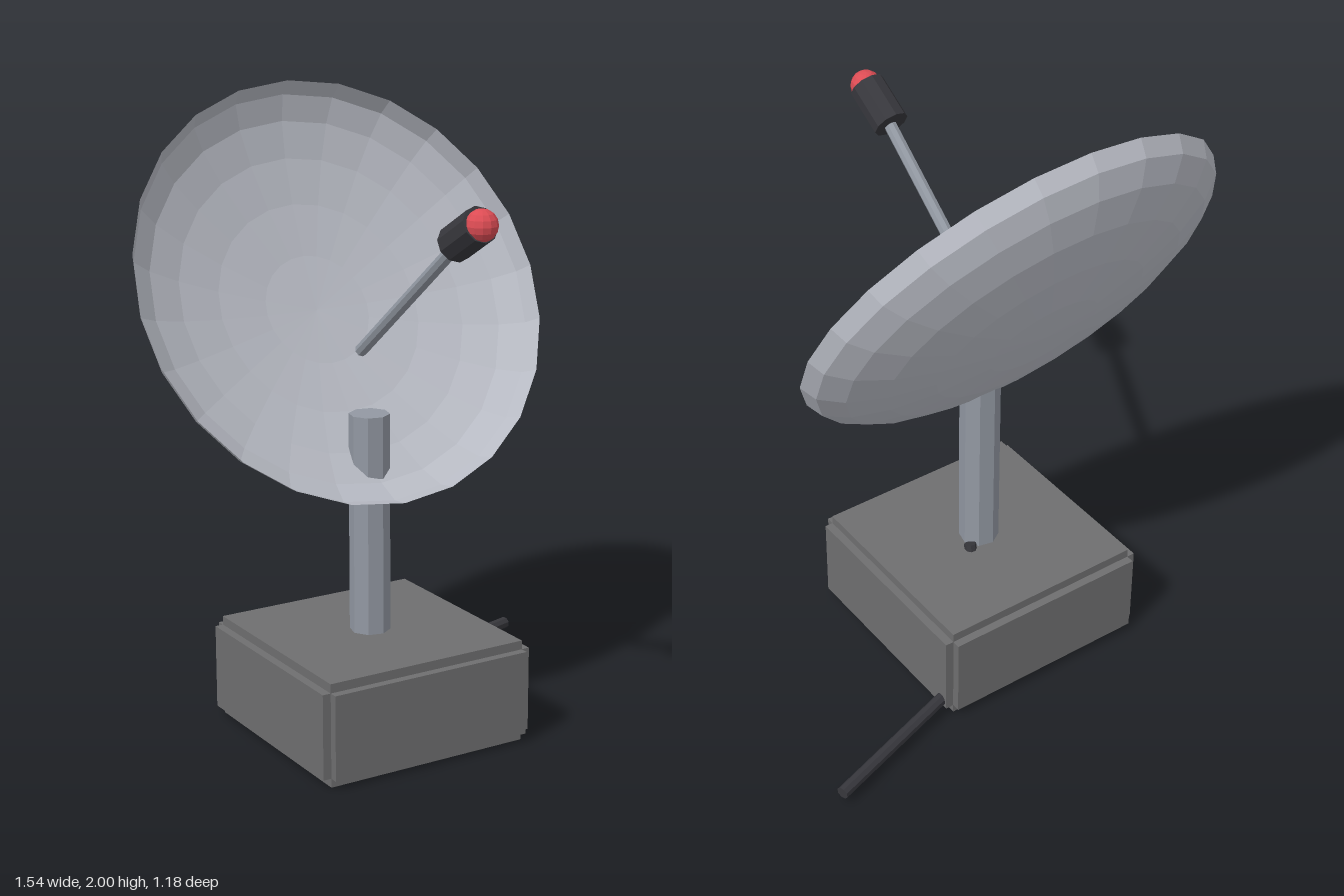
import * as THREE from 'three';

const mat = (name, color, extra = {}) => {
  const m = new THREE.MeshStandardMaterial({ color, flatShading: true, ...extra });
  m.name = name;
  return m;
};

export function createModel() {
  const model = new THREE.Group();
  const dishGrey = mat('dish light grey', 0xb8bbc4, { side: THREE.DoubleSide });
  const steel = mat('steel grey', 0x9298a2);
  const baseGrey = mat('base grey', 0x6e6e6f);
  const black = mat('black plastic', 0x37373c);
  const red = mat('red tip', 0xdc4c54);
  const V = (x, y, z) => new THREE.Vector3(x, y, z);
  const UP = V(0, 1, 0);
  const X = -0.075, Z = -0.06; // centre of mast and base

  const add = (name, geometry, material, parent = model) => {
    const mesh = new THREE.Mesh(geometry, material);
    mesh.name = name;
    parent.add(mesh);
    return mesh;
  };
  // Straight cylinder between two points
  const rod = (name, a, b, r, sides, material, parent) => {
    const mesh = add(name, new THREE.CylinderGeometry(r, r, a.distanceTo(b), sides), material, parent);
    mesh.position.copy(a).add(b).multiplyScalar(0.5);
    mesh.quaternion.setFromUnitVectors(UP, b.clone().sub(a).normalize());
    return mesh;
  };

  // Base: three crossed boxes leave a small step along every edge
  const base = new THREE.Group();
  base.name = 'base';
  base.position.set(X, 0.165, Z);
  model.add(base);
  const wide = 0.74, inset = 0.686;
  add('baseSides', new THREE.BoxGeometry(wide, 0.272, inset), baseGrey, base);
  add('baseFrontBack', new THREE.BoxGeometry(inset, 0.272, wide), baseGrey, base);
  add('baseTopBottom', new THREE.BoxGeometry(inset, 0.33, inset), baseGrey, base);

  // Mast
  rod('mast', V(X, 0.3, Z), V(X, 1.03, Z), 0.064, 8, steel).rotateY(0.17);

  // Dish: half of a flattened sphere, open towards the upper front
  const bowl = new THREE.SphereGeometry(0.695, 24, 6, 0, Math.PI * 2, Math.PI / 2, Math.PI / 2);
  bowl.scale(1, 0.205 / 0.695, 1);
  const dish = add('dish', bowl, dishGrey);
  dish.position.set(X, 1.398, -0.2);
  dish.rotation.x = Math.PI / 3;

  // Receiver on its arm
  const receiver = new THREE.Group();
  receiver.name = 'receiver';
  model.add(receiver);
  rod('receiverArm', V(X, 1.218, -0.108), V(X, 1.635, 0.43), 0.02, 8, steel, receiver);
  rod('receiverHousing', V(X, 1.63, 0.41), V(X, 1.705, 0.54), 0.056, 10, black, receiver);
  const tip = add('receiverTip', new THREE.SphereGeometry(0.048, 12, 8), red, receiver);
  tip.position.set(X, 1.703, 0.546);

  // Cable: enters the base beside the mast and leaves low at the side
  const cable = new THREE.Group();
  cable.name = 'cable';
  model.add(cable);
  const path = [V(-0.012, 0.345, -0.1), V(0, 0.2, -0.15), V(0.1, 0.055, -0.315), V(0.76, 0.041, -0.522)];
  for (let i = 0; i < 3; i++) rod('cableSection', path[i], path[i + 1], 0.02, 8, black, cable);

  return model;
}
